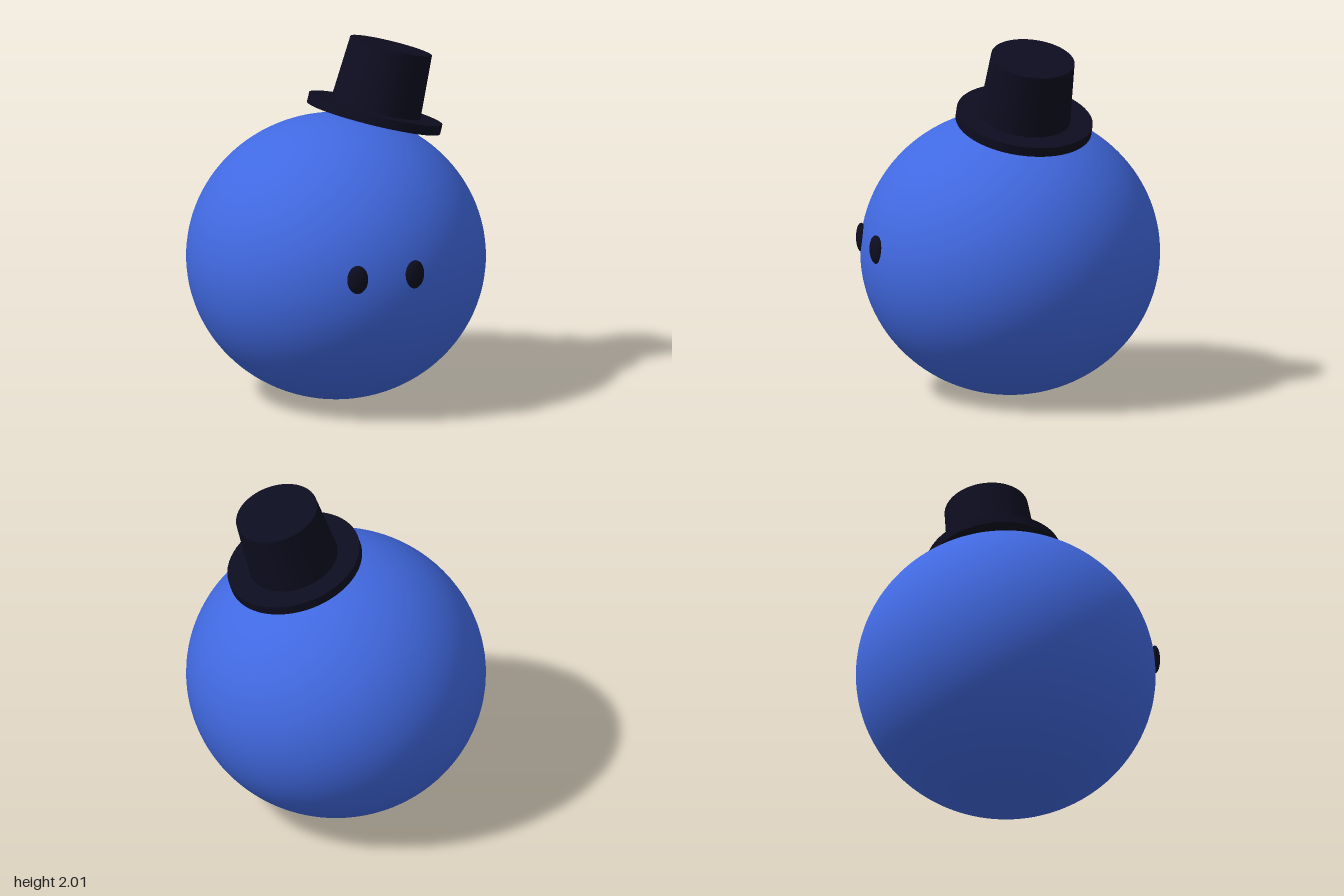
import * as THREE from 'three';

const BODY = { x: 0, y: 0.788, z: -0.006, r: 0.824, h: 0.788 };

export function createModel() {
  const model = new THREE.Group();
  model.name = 'roundCharacter';

  const blue = new THREE.MeshStandardMaterial({ color: 0x4169e1 });
  blue.name = 'royal blue';
  const dark = new THREE.MeshStandardMaterial({ color: 0x0d0d20 });
  dark.name = 'midnight';

  const add = (parent, name, geometry, material) => {
    const mesh = new THREE.Mesh(geometry, material);
    mesh.name = name;
    parent.add(mesh);
    return mesh;
  };

  // Slightly flattened ball body
  const body = add(model, 'body', new THREE.SphereGeometry(1, 96, 64), blue);
  body.scale.set(BODY.r, BODY.h, BODY.r);
  body.position.set(BODY.x, BODY.y, BODY.z);

  // Oval eyes half sunk in the surface, each turned to face outwards
  const eyeY = 0.875;
  for (const [name, x] of [['rightEye', 0.175], ['leftEye', 0.48]]) {
    const ring = BODY.r * Math.sqrt(1 - ((eyeY - BODY.y) / BODY.h) ** 2);
    const yaw = Math.asin(x / ring);
    const eye = add(model, name, new THREE.SphereGeometry(1, 32, 24), dark);
    eye.scale.set(0.058, 0.08, 0.029);
    eye.rotation.y = yaw;
    eye.position.set(x, eyeY, BODY.z + ring * Math.cos(yaw));
  }

  // Top hat, tilted to the side and back about the middle of its brim
  const hat = new THREE.Group();
  hat.name = 'topHat';
  hat.position.set(0.205, 1.573, -0.12);
  const axis = new THREE.Vector3(0.226, 0.959, -0.169).normalize();
  hat.quaternion.setFromUnitVectors(new THREE.Vector3(0, 1, 0), axis);
  model.add(hat);

  add(hat, 'hatBrim', new THREE.CylinderGeometry(0.377, 0.377, 0.054, 64), dark);
  const crown = add(hat, 'hatCrown', new THREE.CylinderGeometry(0.231, 0.254, 0.383, 64), dark);
  crown.position.y = 0.383 / 2;

  return model;
}
